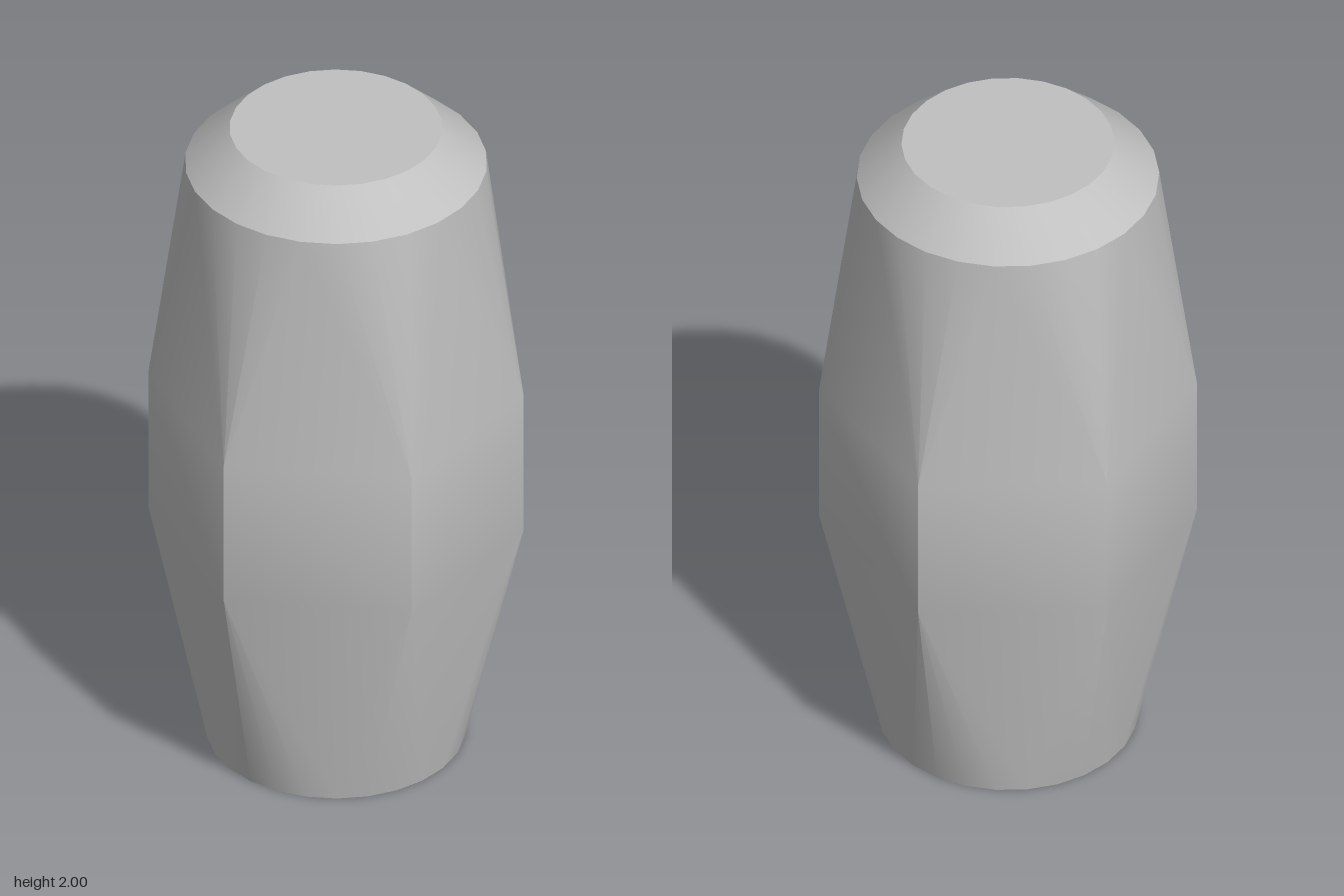
import * as THREE from 'three';
import { toCreasedNormals } from 'three/addons/utils/BufferGeometryUtils.js';

const SIDES = 26;

// Ring of points; with snap = 6 every point moves to its nearest hexagon corner
function ring(radius, y, snap = SIDES) {
  return Array.from({ length: SIDES }, (_, k) => {
    const step = Math.round((k * snap) / SIDES) % snap;
    const a = (step / snap) * Math.PI * 2;
    return new THREE.Vector3(Math.cos(a) * radius, y, Math.sin(a) * radius);
  });
}

// Skin stacked rings, skipping triangles that collapse at shared corners
function loft(rings) {
  const points = [];
  const tri = (a, b, c) => {
    if (a.distanceTo(b) > 1e-5 && b.distanceTo(c) > 1e-5 && c.distanceTo(a) > 1e-5) points.push(a, b, c);
  };
  for (let i = 0; i < rings.length - 1; i++) {
    const lower = rings[i], upper = rings[i + 1];
    for (let k = 0; k < SIDES; k++) {
      const n = (k + 1) % SIDES;
      tri(lower[k], upper[k], upper[n]);
      tri(lower[k], upper[n], lower[n]);
    }
  }
  return toCreasedNormals(new THREE.BufferGeometry().setFromPoints(points), 0.6);
}

export function createModel() {
  const group = new THREE.Group();
  group.name = 'taperedHexGrip';
  const grey = new THREE.MeshStandardMaterial({ color: 0xc0c0c0 });
  grey.name = 'plain grey';

  // Round foot, hexagonal waist, round shoulder, chamfer and flat cap
  const body = new THREE.Mesh(loft([
    ring(0, 0),
    ring(0.363, 0),
    ring(0.528, 0.7, 6),
    ring(0.528, 1.145, 6),
    ring(0.423, 1.886),
    ring(0.298, 2),
    ring(0, 2),
  ]), grey);
  body.name = 'body';
  group.add(body);
  return group;
}
